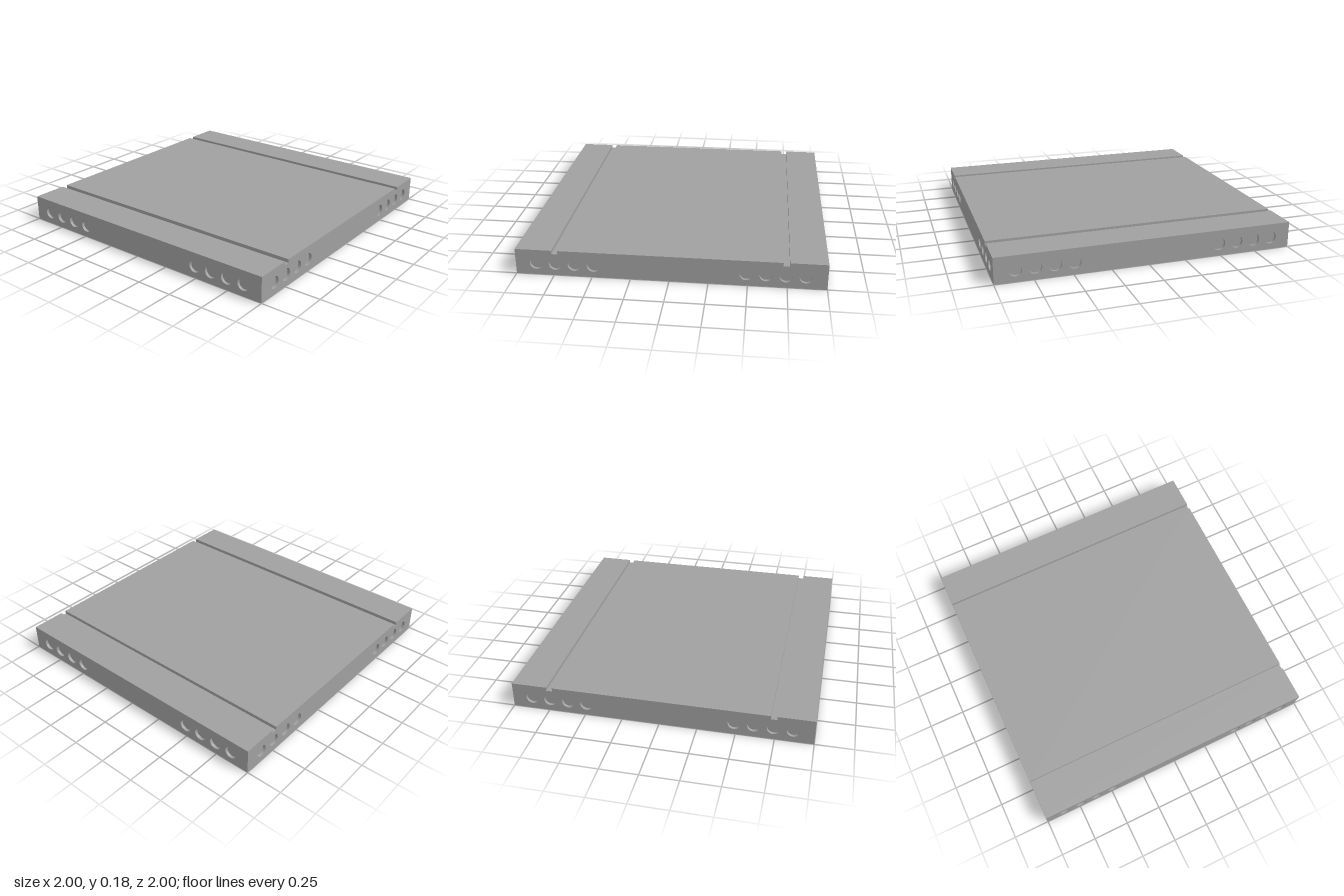
import * as THREE from 'three';

const HEIGHT = 0.176, CEILING = 0.09, GROOVE_FLOOR = 0.152;
const SKIN = 0.02, CORE = 1 - SKIN, BACKING = 0.006;
const HOLE_R = 0.0415, HOLE_Y = 0.08;

// Rectangle from y = bottom to the top, optionally notched by the two grooves
function profile(half, bottom, notched) {
  const s = new THREE.Shape();
  s.moveTo(-half, bottom);
  s.lineTo(half, bottom);
  s.lineTo(half, HEIGHT);
  if (notched) {
    for (const [a, b] of [[0.76, 0.72], [-0.72, -0.76]]) {
      s.lineTo(a, HEIGHT);
      s.lineTo(a, GROOVE_FLOOR);
      s.lineTo(b, GROOVE_FLOOR);
      s.lineTo(b, HEIGHT);
    }
  }
  s.lineTo(-half, HEIGHT);
  s.closePath();
  return s;
}

function extrude(shape, depth) {
  return new THREE.ExtrudeGeometry(shape, { depth, bevelEnabled: false, curveSegments: 24 });
}

export function createModel() {
  const model = new THREE.Group();
  model.name = 'groovedPanel';
  const grey = new THREE.MeshStandardMaterial({ color: 0xa0a0a0 });
  grey.name = 'grey';

  // Top slab with two grooves running along x
  const slab = new THREE.Mesh(extrude(profile(CORE, CEILING, true), CORE * 2), grey);
  slab.name = 'topSlab';
  slab.rotation.y = Math.PI / 2;
  slab.position.x = -CORE;
  model.add(slab);

  // Four side walls, each with two rows of four blind round holes
  ['frontWall', 'leftWall', 'backWall', 'rightWall'].forEach((name, i) => {
    const wall = new THREE.Group();
    wall.name = name;
    wall.rotation.y = i * Math.PI / 2;
    const isSide = i % 2 === 1;

    const shape = profile(isSide ? CORE : 1, 0, isSide);
    for (const sign of [-1, 1]) {
      for (let k = 0; k < 4; k++) {
        const hole = new THREE.Path();
        hole.absarc(sign * (0.49 + k * 0.125), HOLE_Y, HOLE_R, 0, Math.PI * 2, true);
        shape.holes.push(hole);
      }
    }
    const plate = new THREE.Mesh(extrude(shape, SKIN), grey);
    plate.name = name + 'Plate';
    plate.position.z = CORE;
    wall.add(plate);

    // Thin backing closes the holes and lines the open underside
    const length = 2 * (isSide ? CORE - BACKING : CORE);
    const backing = new THREE.Mesh(new THREE.BoxGeometry(length, CEILING, BACKING), grey);
    backing.name = name + 'Backing';
    backing.position.set(0, CEILING / 2, CORE - BACKING / 2);
    wall.add(backing);
    model.add(wall);
  });

  return model;
}
